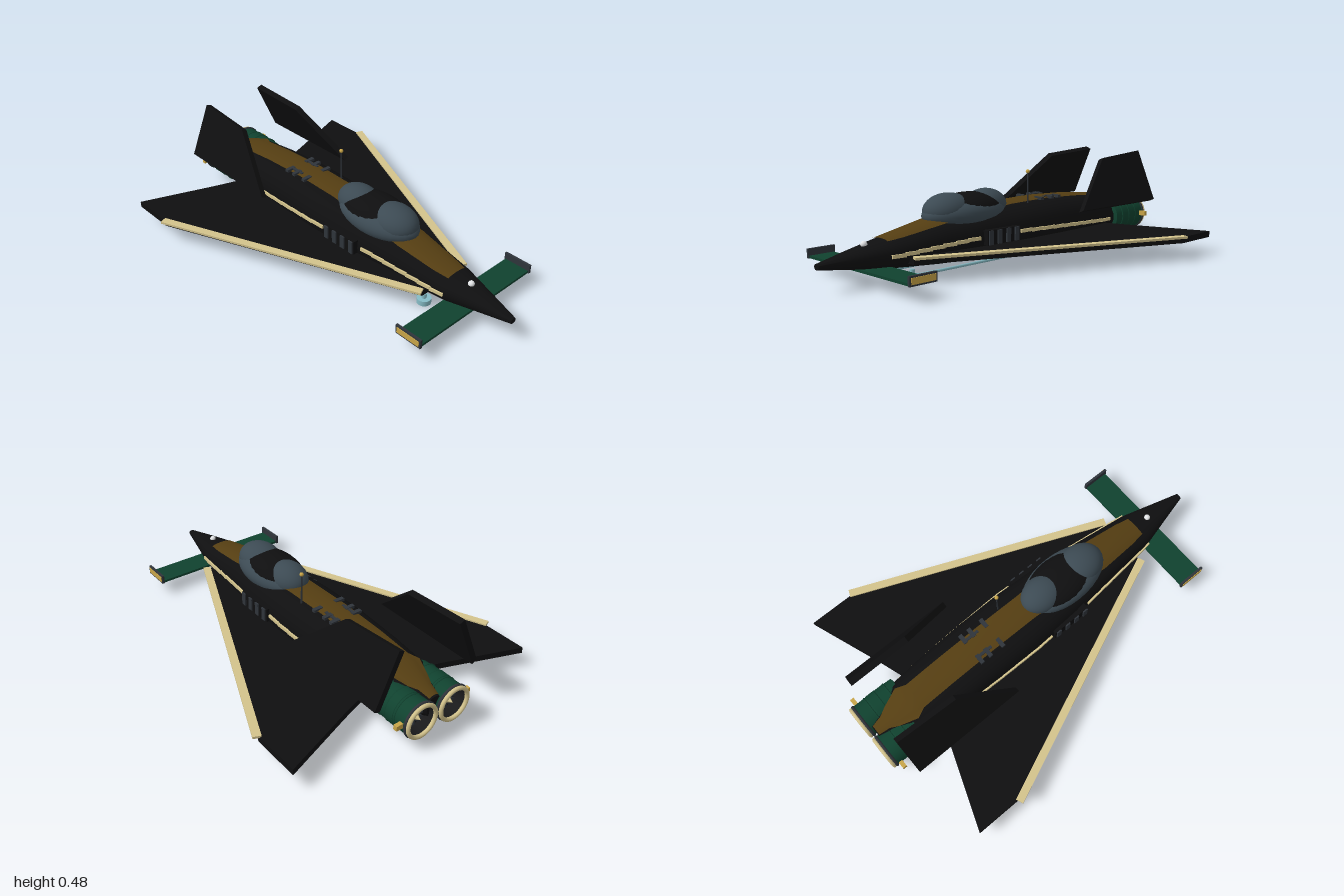
import * as THREE from 'three';
import { toCreasedNormals } from 'three/addons/utils/BufferGeometryUtils.js';

const mat = (name, color, side = THREE.FrontSide) => {
  const m = new THREE.MeshStandardMaterial({ color, side });
  m.name = name;
  return m;
};

// Fuselage stations: z, half width, top, bottom
const STATIONS = [
  [1, .016, .126, .1], [.85, .055, .156, .08], [.68, .1, .187, .058], [.4, .13, .24, .036],
  [.15, .158, .265, .024], [-.1, .169, .276, .018], [-.35, .165, .28, .018],
  [-.6, .155, .266, .024], [-.77, .142, .247, .036], [-.96, .04, .2, .1],
];

// Interpolates a table of rows by its descending first column
function sample(table, z) {
  let i = 0;
  while (i < table.length - 2 && z < table[i + 1][0]) i++;
  const a = table[i], b = table[i + 1];
  const t = THREE.MathUtils.clamp((a[0] - z) / (a[0] - b[0]), 0, 1);
  return a.map((v, k) => v + (b[k] - v) * t);
}

const POWER = 2.3;
function section(z) {
  const [, w, top, bot] = sample(STATIONS, z);
  return { w, top, bot, cy: bot + (top - bot) * .5 };
}
function topY(z, x) {
  const { w, top, cy } = section(z);
  const u = Math.min(Math.abs(x) / w, 1);
  return cy + (top - cy) * Math.pow(1 - Math.pow(u, POWER), 1 / POWER);
}
function sideX(z, y) {
  const { w, top, cy } = section(z);
  const u = Math.min(Math.abs(y - cy) / (top - cy), 1);
  return w * Math.pow(1 - Math.pow(u, POWER), 1 / POWER);
}

// Skin over rows of points; closed rings can be capped at both ends
function skin(rows, closed = false) {
  const n = rows[0].length, idx = [];
  for (let i = 0; i < rows.length - 1; i++) {
    for (let j = 0; j < (closed ? n : n - 1); j++) {
      const k = (j + 1) % n, a = i * n + j, b = a + n, c = i * n + k, d = c + n;
      idx.push(a, b, c, b, d, c);
    }
  }
  if (closed) {
    const last = (rows.length - 1) * n;
    for (let j = 1; j < n - 1; j++) idx.push(0, j, j + 1, last, last + j + 1, last + j);
  }
  const g = new THREE.BufferGeometry();
  g.setAttribute('position', new THREE.Float32BufferAttribute(rows.flat(2), 3));
  g.setIndex(idx);
  g.computeVertexNormals();
  return g;
}

export function createModel() {
  const root = new THREE.Group();
  root.name = 'deltaWingCraft';
  const black = mat('hull black', 0x0f0f10);
  const bronze = mat('bronze', 0x553e12);
  const green = mat('dark green', 0x10422f, THREE.DoubleSide);
  const cream = mat('cream trim', 0xd3c38c);
  const glass = mat('smoked glass', 0x3c4a53);
  const gunmetal = mat('gunmetal', 0x2f343a);
  const blue = mat('pale blue', 0x86bcc6);
  const gold = mat('gold', 0xc9a548);
  const white = mat('lamp white', 0xe6e8ea);
  const inner = mat('nozzle dark', 0x1a1a1b, THREE.DoubleSide);

  const add = (name, geo, material, x = 0, y = 0, z = 0) => {
    const m = new THREE.Mesh(geo, material);
    m.name = name;
    m.position.set(x, y, z);
    root.add(m);
    return m;
  };
  const box = (name, w, h, d, material, x, y, z) => add(name, new THREE.BoxGeometry(w, h, d), material, x, y, z);
  const ball = (name, r, sx, sy, sz, material, x, y, z) => {
    const m = add(name, new THREE.SphereGeometry(r, 32, 20), material, x, y, z);
    m.scale.set(sx, sy, sz);
    return m;
  };

  // Fuselage
  const rings = STATIONS.map(([z, w, top, bot]) => Array.from({ length: 36 }, (_, j) => {
    const a = j / 36 * Math.PI * 2, c = Math.cos(a), s = Math.sin(a), e = 2 / POWER;
    return [w * Math.sign(c) * Math.abs(c) ** e,
      (top + bot) / 2 + (top - bot) / 2 * Math.sign(s) * Math.abs(s) ** e, z];
  }));
  add('fuselage', toCreasedNormals(skin(rings, true), .6), black);

  // Bronze panel along the spine: z, half width
  const panel = [[.68, .055], [.6, .068], [.4, .085], [.2, .08], [-.05, .07], [-.3, .07], [-.55, .07],
    [-.72, .07], [-.77, .092], [-.86, .058], [-.9, .036], [-.955, .026]];
  add('spinePanel', skin(panel.map(([z, w]) => Array.from({ length: 13 }, (_, j) => {
    const x = w * (1 - j / 6);
    return [x, Math.max(topY(z, x), z < -.75 ? topY(z, 0) - .012 : 0) + .005, z];
  }))), bronze);

  // Canopy: glass base, dark frame and two glass bubbles
  ball('canopyBase', 1, .13, .085, .24, glass, 0, .25, .19);
  ball('canopyFrame', 1, .122, .083, .205, black, 0, .262, .175);
  ball('frontCanopyGlass', 1, .1, .082, .128, glass, 0, .27, .295);
  ball('rearCanopyGlass', 1, .09, .08, .118, glass, 0, .272, .06);
  ball('noseLamp', .015, 1, 1, 1, white, 0, .175, .765);

  // Antenna
  add('antennaMast', new THREE.CylinderGeometry(.003, .004, .16, 8), gunmetal, .08, .345, -.155);
  ball('antennaTip', .01, 1, 1, 1, gold, .08, .422, -.155);

  for (const s of [1, -1]) {
    const side = s > 0 ? 'left' : 'right';

    // Wing and its leading edge trim
    const wingShape = new THREE.Shape([[.05, .6], [.13, .6], [.66, -.64], [.66, -.875], [.29, -.74], [.05, -.66]]
      .map(([x, z]) => new THREE.Vector2(s * x, z)));
    const wingGeo = new THREE.ExtrudeGeometry(wingShape, { depth: .03, bevelEnabled: false });
    add(side + 'Wing', wingGeo.rotateX(Math.PI / 2), black, 0, .11, 0);
    const trim = box(side + 'LeadingEdgeTrim', .038, .011, 1.36, cream, s * .405, .112, -.02);
    trim.rotation.y = Math.atan2(-.53 * s, 1.25);

    // Inward leaning fin
    const finShape = new THREE.Shape([[-.33, 0], [-.915, 0], [-.915, .277], [-.6, .255]]
      .map(([z, h]) => new THREE.Vector2(z, h)));
    const finGeo = new THREE.ExtrudeGeometry(finShape, { depth: .03, bevelEnabled: false }).translate(0, 0, -.015);
    const up = new THREE.Vector3(-.4 * s, .917, 0).normalize(), fore = new THREE.Vector3(0, 0, 1);
    finGeo.applyMatrix4(new THREE.Matrix4().makeBasis(fore, up, fore.clone().cross(up)));
    add(side + 'Fin', finGeo, black, s * .277, .225, 0);

    // Canard with end plate
    box(side + 'Canard', .37, .012, .13, green, s * .185, .071, .745);
    box(side + 'CanardEndPlate', .012, .044, .142, gunmetal, s * .368, .087, .745);
    box(side + 'CanardEndInlay', .004, .028, .126, gold, s * .375, .087, .745);

    // Stepped trim along the fuselage side
    for (const [z0, z1, y0, y1, n] of [[.69, .23, .122, .152, 7], [-.02, -.72, .156, .128, 9]]) {
      const d = (z1 - z0) / n;
      for (let i = 0; i < n; i++) {
        const z = z0 + d * (i + .5), y = y0 + (y1 - y0) * (i + .5) / n;
        const x0 = sideX(z - d / 2, y), x1 = sideX(z + d / 2, y);
        const strip = box(side + 'SideTrim', .014, .016, Math.abs(d) + .004, cream, s * ((x0 + x1) / 2 + .001), y, z);
        strip.rotation.y = Math.atan2(s * (x1 - x0), d) + Math.PI;
      }
    }

    // Side vent housing and slats
    box(side + 'VentHousing', .03, .07, .21, black, s * .16, .15, .1);
    for (let i = 0; i < 4; i++) box(side + 'VentSlat', .012, .066, .026, gunmetal, s * .176, .15, .018 + i * .056);

    // Dorsal vents
    for (const z of [-.255, -.33, -.38]) box(side + 'DorsalVent', .05, .014, .02, gunmetal, s * .063, .278, z);
    box(side + 'DorsalVentRail', .014, .012, .09, gunmetal, s * .05, .278, -.345);

    // Engine: ribbed shell, rim, dark bore and fan
    const ex = s * .092, ey = .135;
    const shell = [[.06, 0], [.08, .004], [.082, .05], [.084, .052], [.084, .1], [.086, .102], [.086, .15],
      [.084, .152], [.084, .225]].map(([r, y]) => new THREE.Vector2(r, y));
    add(side + 'EngineShell', toCreasedNormals(new THREE.LatheGeometry(shell, 32).rotateX(-Math.PI / 2), .5), green, ex, ey, -.75);
    const ring = (name, r, t, m, z) => add(side + name, new THREE.TorusGeometry(r, t, 8, 32), m, ex, ey, z);
    for (const z of [-.8, -.855, -.91]) ring('EngineRib', .083, .004, green, z);
    ring('NozzleCollar', .082, .008, gunmetal, -.975);
    ring('NozzleRim', .077, .01, cream, -.988);
    add(side + 'NozzleBore', new THREE.CylinderGeometry(.072, .06, .09, 32, 1, true).rotateX(-Math.PI / 2), inner, ex, ey, -.945);
    add(side + 'NozzleBack', new THREE.CircleGeometry(.075, 32).rotateY(Math.PI), inner, ex, ey, -.93);
    for (let i = 0; i < 6; i++) {
      const blade = box(side + 'FanBlade', .01, .1, .012, gunmetal, ex, ey, -.94);
      blade.rotation.z = i * Math.PI / 6;
    }
    add(side + 'FanHub', new THREE.ConeGeometry(.02, .04, 16).rotateX(-Math.PI / 2), cream, ex, ey, -.96);
    box(side + 'EngineLug', .035, .024, .02, gold, s * .193, .138, -.955);

    // Landing skid
    add(side + 'SkidRod', new THREE.CylinderGeometry(.007, .007, 1.13, 10).rotateX(Math.PI / 2), blue, s * .08, .019, .005);
    for (const [z, r] of [[.57, .034], [-.56, .045]]) {
      add(side + 'SkidPad', toCreasedNormals(new THREE.CylinderGeometry(r, r, .026, 16), .5), blue, s * .08, .013, z);
      add(side + 'SkidStrut', new THREE.CylinderGeometry(.012, .012, .03, 10), blue, s * .08, .035, z);
    }
  }
  return root;
}
